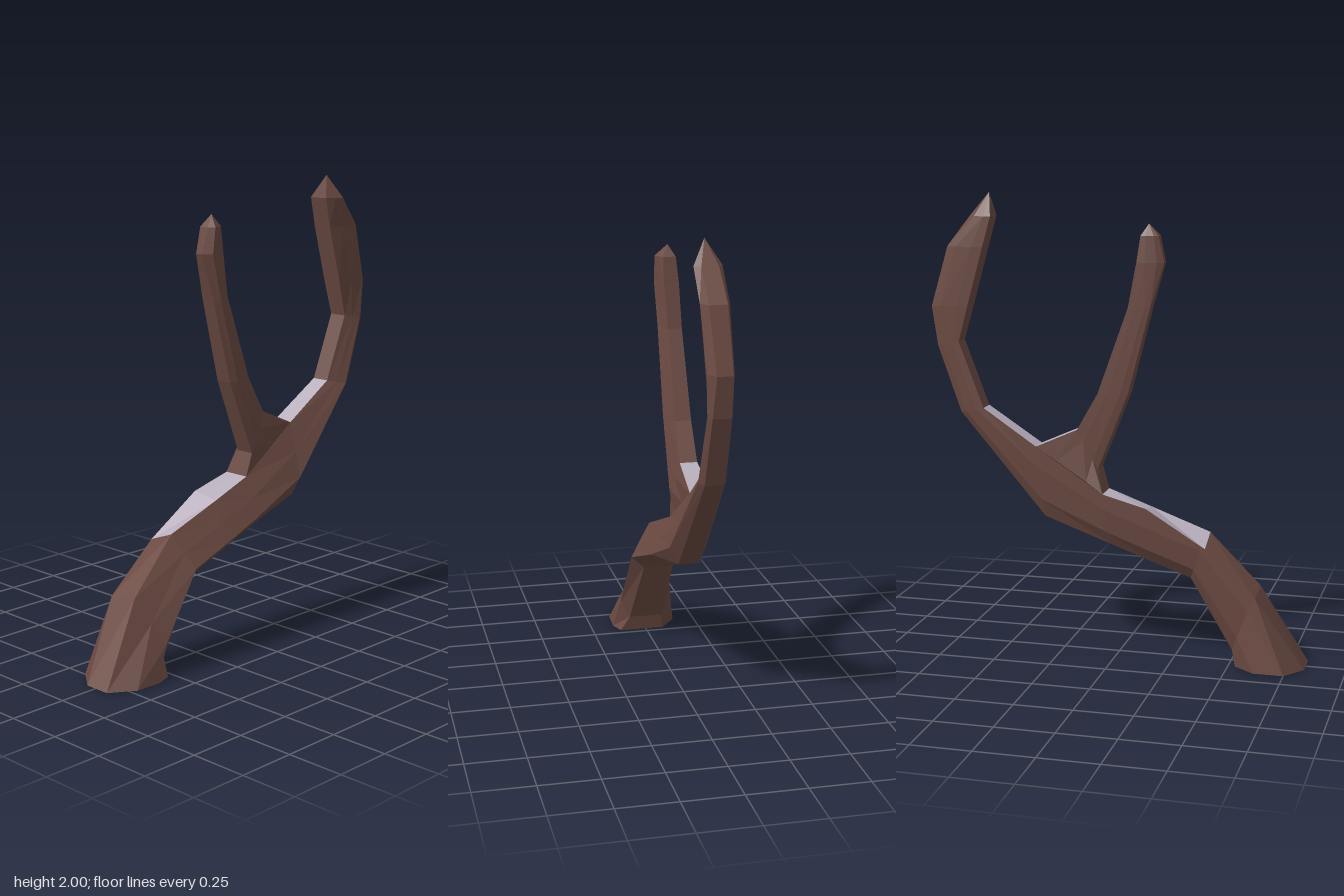
import * as THREE from 'three';

const bark = new THREE.MeshStandardMaterial({ color: 0x6b4a42, flatShading: true });
const snow = new THREE.MeshStandardMaterial({ color: 0xb8aebd, flatShading: true });
bark.name = 'bark brown';
snow.name = 'pale snow';

const mix = (a, b, t) => a + (b - a) * t;

// Eight-sided cross-section between an upper and a lower edge, both [z, y].
// x = [left, upper right, right bulge, lower right, lower left]; lift raises the upper left corner.
function ring(top, bot, [l, m, r, e, f], lift = 0) {
  const p = (x, t) => [x, mix(top[1], bot[1], t), mix(top[0], bot[0], t)];
  const upperLeft = p(l, 0);
  upperLeft[1] += lift;
  return [upperLeft, p(m, 0), p(mix(m, r, 0.55), 0.4), p(r, 0.75),
    p(e, 1), p(f, 1), p(mix(l, f, 0.3), 0.75), p(l, 0.3)];
}

// Joins rings into a limb closed by a tip; side 0 of each segment is bark, snow or open.
function limb(rings, tip, sideZero, flip, capped, name) {
  const faces = { bark: [], snow: [] };
  const tri = (kind, a, b, c) => faces[kind].push(...(flip ? [a, c, b] : [a, b, c]).flat());
  const n = rings[0].length;
  for (let j = 0; j < n; j++) {
    const k = (j + 1) % n;
    for (let i = 0; i < rings.length - 1; i++) {
      const kind = j === 0 ? sideZero[i] || 'bark' : 'bark';
      if (kind === 'open') continue;
      tri(kind, rings[i][j], rings[i][k], rings[i + 1][k]);
      tri(kind, rings[i][j], rings[i + 1][k], rings[i + 1][j]);
    }
    const last = rings[rings.length - 1];
    tri('bark', last[j], last[k], tip);
    if (capped) tri('bark', [0, 0, 0.67], rings[0][k], rings[0][j]);
  }
  const group = new THREE.Group();
  group.name = name;
  for (const [kind, material] of [['bark', bark], ['snow', snow]]) {
    const geometry = new THREE.BufferGeometry();
    geometry.setAttribute('position', new THREE.Float32BufferAttribute(faces[kind], 3));
    geometry.computeVertexNormals();
    const mesh = new THREE.Mesh(geometry, material);
    mesh.name = name + (kind === 'bark' ? 'Bark' : 'Snow');
    group.add(mesh);
  }
  return group;
}

export function createModel() {
  const model = new THREE.Group();
  model.name = 'deadTree';

  // Flared foot, as [x, z] on the ground
  const foot = [[-0.05, 0.825], [0.07, 0.825], [0.14, 0.72], [0.145, 0.6],
    [0.12, 0.53], [-0.08, 0.53], [-0.15, 0.62], [-0.15, 0.75]].map(([x, z]) => [x, 0, z]);

  // Trunk: leans back from the foot, then curves up into the tall limb
  const trunk = [
    foot,
    ring([0.62, 0.34], [0.515, 0.07], [-0.12, 0.02, 0.12, 0.08, -0.07], -0.02),
    ring([0.40, 0.565], [0.33, 0.375], [-0.11, 0.01, 0.105, 0.05, -0.06], -0.045),
    ring([0.14, 0.66], [0.16, 0.435], [-0.11, 0.015, 0.1, 0.045, -0.06], 0.02),
    ring([-0.05, 0.73], [-0.02, 0.5], [-0.105, 0.015, 0.093, 0.04, -0.06]),
    ring([-0.35, 0.92], [-0.32, 0.605], [-0.09, 0, 0.08, 0.04, -0.05]),
    ring([-0.59, 1.075], [-0.70, 1.05], [-0.075, 0.005, 0.045, 0.025, -0.05]),
    ring([-0.70, 1.36], [-0.80, 1.34], [-0.07, 0.01, 0.035, 0.02, -0.055]),
    ring([-0.655, 1.52], [-0.825, 1.51], [-0.075, 0.015, 0.04, 0.01, -0.055]),
    ring([-0.585, 1.77], [-0.75, 1.77], [-0.075, 0.015, 0.05, 0.025, -0.05]),
    ring([-0.55, 1.9], [-0.65, 1.9], [-0.068, 0.02, 0.055, 0.03, -0.04]),
  ];
  model.add(limb(trunk, [0, 2, -0.575],
    { 2: 'snow', 3: 'snow', 4: 'open', 5: 'snow' }, false, true, 'trunk'));

  // Branch: rises from the open top of the fork, its upper edge facing back
  const branch = [
    ring([-0.35, 0.92], [-0.05, 0.73], [-0.09, 0, 0.01, 0.015, -0.105]),
    ring([-0.17, 1.0], [-0.08, 0.83], [-0.075, 0, 0.03, 0.02, -0.065]),
    ring([-0.08, 1.16], [0.05, 1.16], [-0.07, 0, 0.03, 0.015, -0.06]),
    ring([0.05, 1.53], [0.145, 1.53], [-0.06, 0, 0.03, 0.01, -0.055]),
    ring([0.085, 1.72], [0.20, 1.72], [-0.055, 0.01, 0.035, 0, -0.035]),
    ring([0.10, 1.83], [0.175, 1.83], [-0.045, 0.01, 0.035, 0.01, -0.035]),
  ];
  model.add(limb(branch, [-0.015, 1.88, 0.13], { 0: 'snow' }, true, false, 'branch'));

  return model;
}
